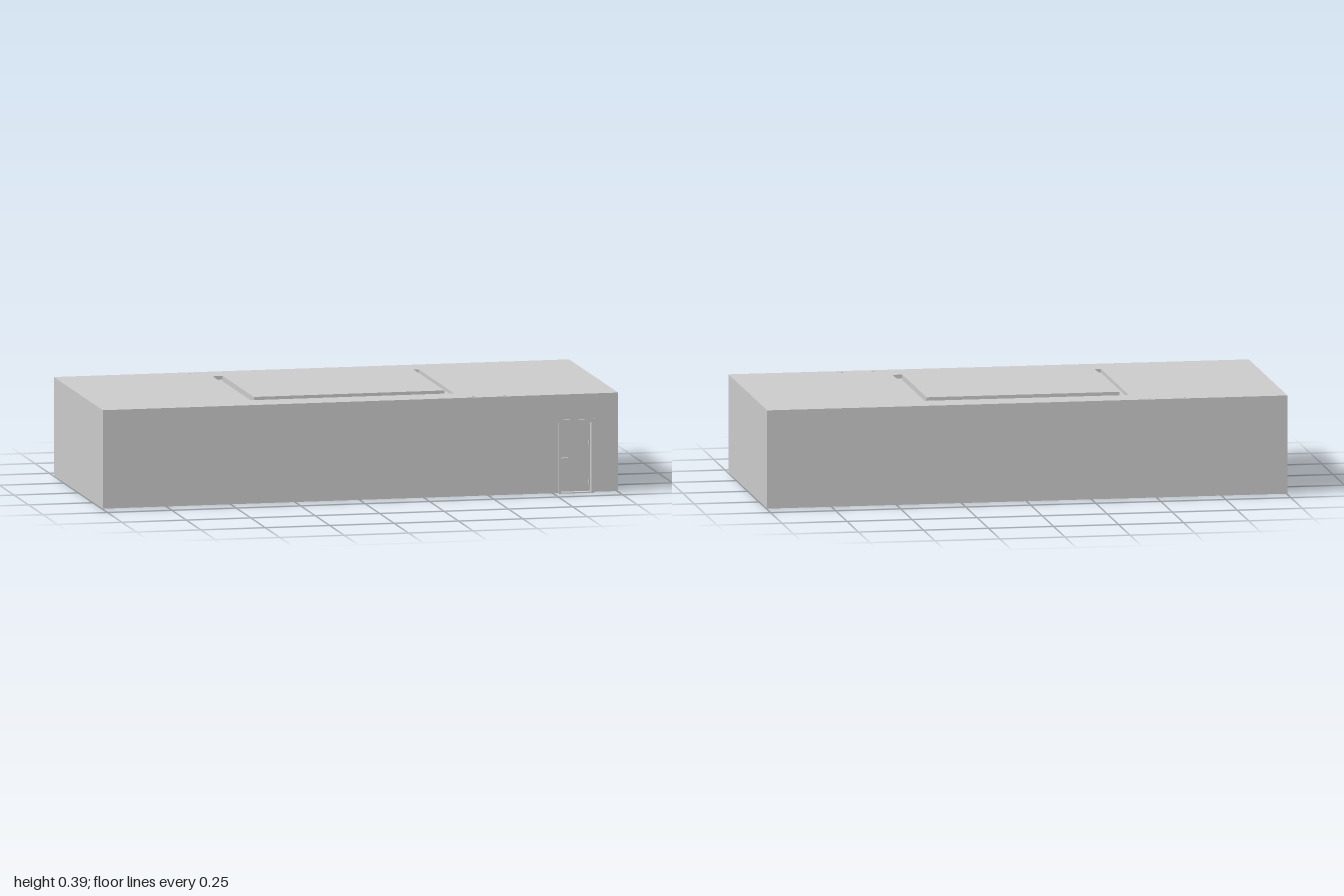
import * as THREE from 'three';

const material = new THREE.MeshStandardMaterial({ color: 0xcccccc, flatShading: true });

export function createModel() {
  const root = new THREE.Group();
  root.name = 'room';

  const add = (name, geometry) => {
    const mesh = new THREE.Mesh(geometry, material);
    mesh.name = name;
    root.add(mesh);
    return mesh;
  };
  // Box given by its limits on each axis
  const box = (name, x0, x1, y0, y1, z0, z1) => {
    const mesh = add(name, new THREE.BoxGeometry(x1 - x0, y1 - y0, z1 - z0));
    mesh.position.set((x0 + x1) / 2, (y0 + y1) / 2, (z0 + z1) / 2);
    return mesh;
  };
  const rectangle = (target, x0, x1, y0, y1) =>
    target.moveTo(x0, y0).lineTo(x1, y0).lineTo(x1, y1).lineTo(x0, y1).closePath();

  const floor = 0.003, top = 0.38, ceiling = 0.366;
  const back = -0.425, front = 0.422, recess = 0.392;
  const door = { x0: 0.772, x1: 0.9, y: 0.272 };

  // Main volume behind the doorway and below the roof slab
  box('mainVolume', -1, 1, floor, ceiling, back, recess);

  // Front wall with the doorway cut out of its lower edge
  const wall = new THREE.Shape();
  wall.moveTo(-1, floor).lineTo(door.x0, floor).lineTo(door.x0, door.y)
    .lineTo(door.x1, door.y).lineTo(door.x1, floor).lineTo(1, floor)
    .lineTo(1, ceiling).lineTo(-1, ceiling).closePath();
  add('frontWall', new THREE.ExtrudeGeometry(wall, { depth: front - recess, bevelEnabled: false }))
    .position.z = recess;

  // Roof slab with the groove around the tray and four small pipe holes
  const slab = rectangle(new THREE.Shape(), -1, 1, -front, -back);
  slab.holes.push(rectangle(new THREE.Path(), -0.41, 0.39, -0.302, 0.31));
  for (const [x, z, r] of [[-0.61, -0.4, 0.004], [-0.475, -0.4, 0.004], [0.447, 0.39, 0.007], [0.568, 0.39, 0.007]]) {
    slab.holes.push(new THREE.Path().absarc(x, -z, r, 0, Math.PI * 2, true));
  }
  const roof = add('roofSlab', new THREE.ExtrudeGeometry(slab, { depth: top - ceiling, bevelEnabled: false, curveSegments: 8 }));
  roof.rotation.x = -Math.PI / 2;
  roof.position.y = ceiling;

  // Raised ceiling tray inside the groove
  box('ceilingTray', -0.38, 0.36, ceiling, 0.387, -0.273, 0.27);

  // Shallow channels under the floor
  box('backFloorChannel', -0.975, 0.975, 0, floor, -0.247, -0.233);
  for (const side of [-1, 1]) {
    box('sideFloorChannel', side * 0.722 - 0.005, side * 0.722 + 0.005, 0, floor, -0.22, 0.395);
  }

  // Door casing
  for (const x of [door.x0, door.x1]) {
    box('doorJamb', x - 0.004, x + 0.004, 0, 0.28, recess, 0.427);
  }
  box('doorHead', door.x0 - 0.008, door.x1 + 0.008, door.y, 0.283, front - 0.01, 0.427);
  box('doorSill', door.x0, door.x1, 0, floor + 0.001, recess, front);

  // Door leaf, handle and hinges
  box('doorLeaf', door.x0 + 0.004, door.x1 - 0.004, floor, door.y - 0.003, recess, recess + 0.006);
  box('doorHandle', 0.786, 0.81, 0.13, 0.135, 0.404, 0.41);
  box('handleStem', 0.786, 0.791, 0.13, 0.135, recess, 0.41);
  for (const y of [0.04, 0.19]) {
    const hinge = add('hinge', new THREE.CylinderGeometry(0.004, 0.004, 0.018, 8));
    hinge.position.set(0.891, y, recess + 0.008);
  }

  return root;
}
